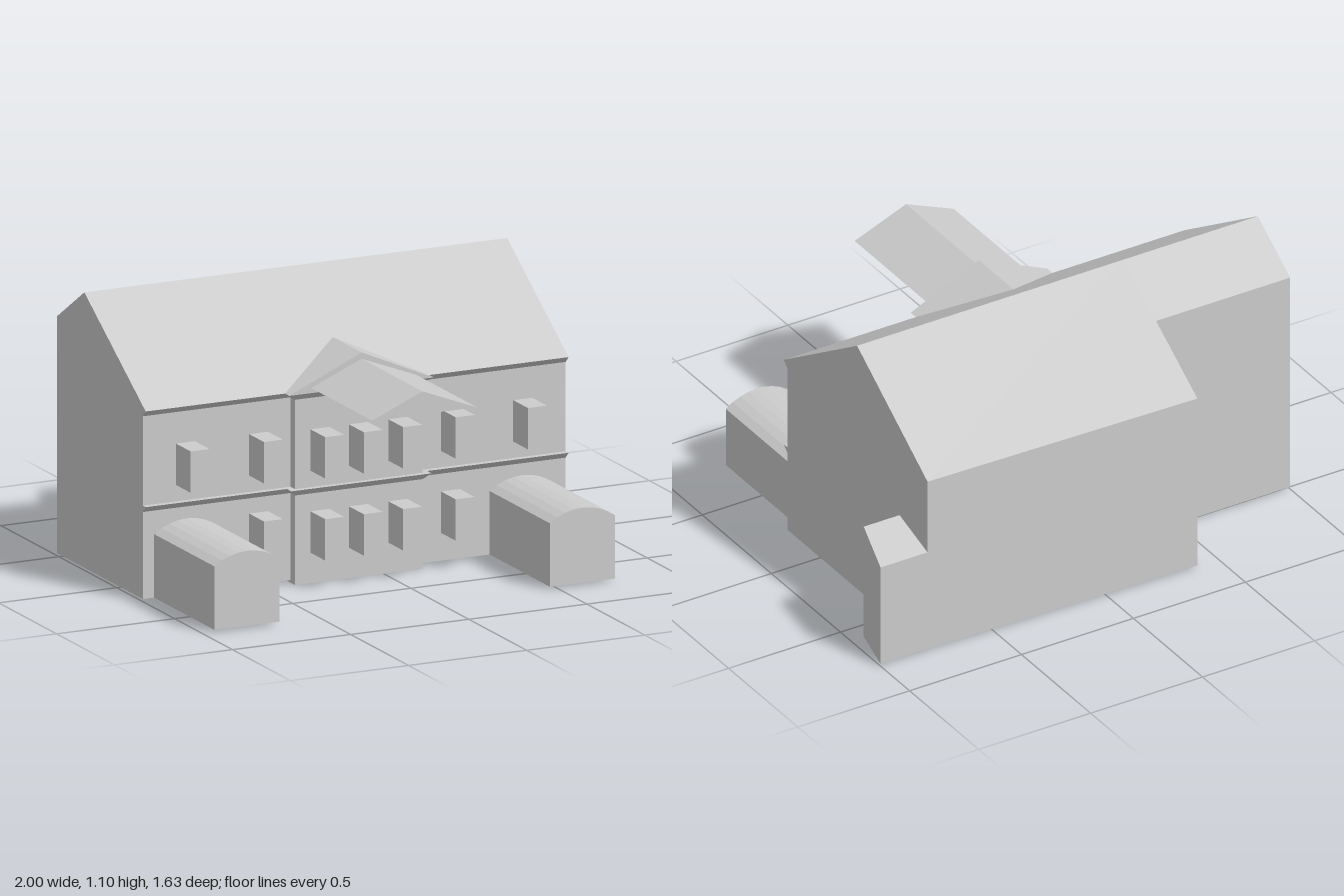
import * as THREE from 'three';

export function createModel() {
  const model = new THREE.Group();
  model.name = 'house';
  const stone = new THREE.MeshStandardMaterial({ color: 0xcccccc });
  stone.name = 'pale grey';

  const add = (name, geometry) => {
    const mesh = new THREE.Mesh(geometry, stone);
    mesh.name = name;
    model.add(mesh);
    return mesh;
  };

  // Move every vertex by a rule and refresh the flat normals
  const reshape = (source, rule) => {
    const geometry = source.index ? source.toNonIndexed() : source;
    const p = geometry.attributes.position;
    const v = new THREE.Vector3();
    for (let i = 0; i < p.count; i++) {
      rule(v.fromBufferAttribute(p, i));
      p.setXYZ(i, v.x, v.y, v.z);
    }
    geometry.computeVertexNormals();
    return geometry;
  };

  const box = (x0, x1, y0, y1, z0, z1) =>
    new THREE.BoxGeometry(x1 - x0, y1 - y0, z1 - z0)
      .translate((x0 + x1) / 2, (y0 + y1) / 2, (z0 + z1) / 2);

  // Extrude a [z, y] profile along x
  const alongX = (points, x0, x1) => {
    const shape = new THREE.Shape(points.map(([z, y]) => new THREE.Vector2(-z, y)));
    return new THREE.ExtrudeGeometry(shape, { depth: x1 - x0, bevelEnabled: false })
      .rotateY(Math.PI / 2).translate(x0, 0, 0);
  };

  // Extrude an [x, y] profile along z
  const alongZ = (points, z0, z1) => {
    const shape = new THREE.Shape(points.map(([x, y]) => new THREE.Vector2(x, y)));
    return new THREE.ExtrudeGeometry(shape, { depth: z1 - z0, bevelEnabled: false })
      .translate(0, 0, z0);
  };

  // Main body: gabled section with a flared front eave
  const WALL = 0.225, EAVE = 0.755, RIDGE = 1.095, RIDGE_Z = -0.28;
  const front = [[WALL, 0.01], [WALL, 0.73], [0.25, EAVE], [RIDGE_Z, RIDGE]];
  add('shallowWing', alongX([...front, [-0.515, 0.944], [-0.515, 0.01]], -1, -0.4));
  const deep = alongX([...front, [-0.79, EAVE], [-0.79, 0.01]], -0.4, 0.79);
  add('deepWing', reshape(deep, (v) => {
    if (v.z < -0.7 && v.x < 0) v.z = -0.815; // slightly skewed back wall
  }));

  // Projecting central bay
  add('centralBay', box(-0.375, 0.165, 0, 0.73, -0.055, 0.265));

  // Flared string course across the facade
  add('stringCourse', alongX([[WALL, 0.353], [0.25, 0.378], [WALL, 0.378]], -1, 0.79));

  // Mitred cornices around the bay
  for (const [name, y] of [['lowerBayCornice', 0.353], ['upperBayCornice', 0.73]]) {
    const top = y + 0.025;
    add(name, reshape(box(-0.375, 0.165, y, top, 0.2, 0.265), (v) => {
      if (v.y > top - 0.01) {
        v.x += v.x > 0 ? 0.027 : -0.027;
        if (v.z > 0.25) v.z = 0.288;
      }
    }));
  }

  // Pediment whose back edges meet the main roof slope
  const pediment = alongZ([[-0.41, EAVE], [0.2, EAVE], [-0.105, 0.89]], 0, 0.288);
  add('pediment', reshape(pediment, (v) => {
    if (v.z < 0.1) v.z = 0.25 - (v.y - EAVE) * 0.53 / 0.34;
  }));
  add('pedimentCanopy', alongZ([[-0.318, 0.775], [0.125, 0.775], [-0.105, 0.865]], 0.285, 0.815));

  // Window blocks: [left edge, bottom, wall depth]
  const BAY = 0.265;
  const windows = [
    [-0.86, 0.443, WALL], [-0.55, 0.443, WALL], [0.262, 0.443, WALL], [0.568, 0.443, WALL],
    [-0.55, 0.13, WALL], [0.262, 0.12, WALL],
  ];
  for (const x of [-0.31, -0.147, 0.02]) windows.push([x, 0.443, BAY], [x, 0.12, BAY]);
  for (const [x, y, z] of windows) {
    add('window', box(x, x + 0.08, y, y + 0.163, z - 0.005, z + 0.128));
  }

  // Long arched porches
  for (const x of [-0.815, 0.605]) {
    const half = 0.137, rise = 0.046, spring = 0.26;
    const radius = (half * half + rise * rise) / (2 * rise);
    const sweep = Math.asin(half / radius);
    const outline = [[x - half, 0.01], [x + half, 0.01]];
    for (let i = 0; i <= 8; i++) {
      const a = sweep * (1 - i / 4);
      outline.push([x + radius * Math.sin(a), spring + rise - radius * (1 - Math.cos(a))]);
    }
    add('archedPorch', alongZ(outline, WALL - 0.005, 0.748));
  }

  // Side annex with a lean-to top and a splayed end wall
  add('sideAnnex', reshape(box(0.78, 0.95, 0.01, 0.5, -0.79, -0.587), (v) => {
    if (v.z < -0.7) {
      if (v.x > 0.9) v.x = 1;
      if (v.y > 0.3) v.y = 0.44;
    }
  }));

  return model;
}
